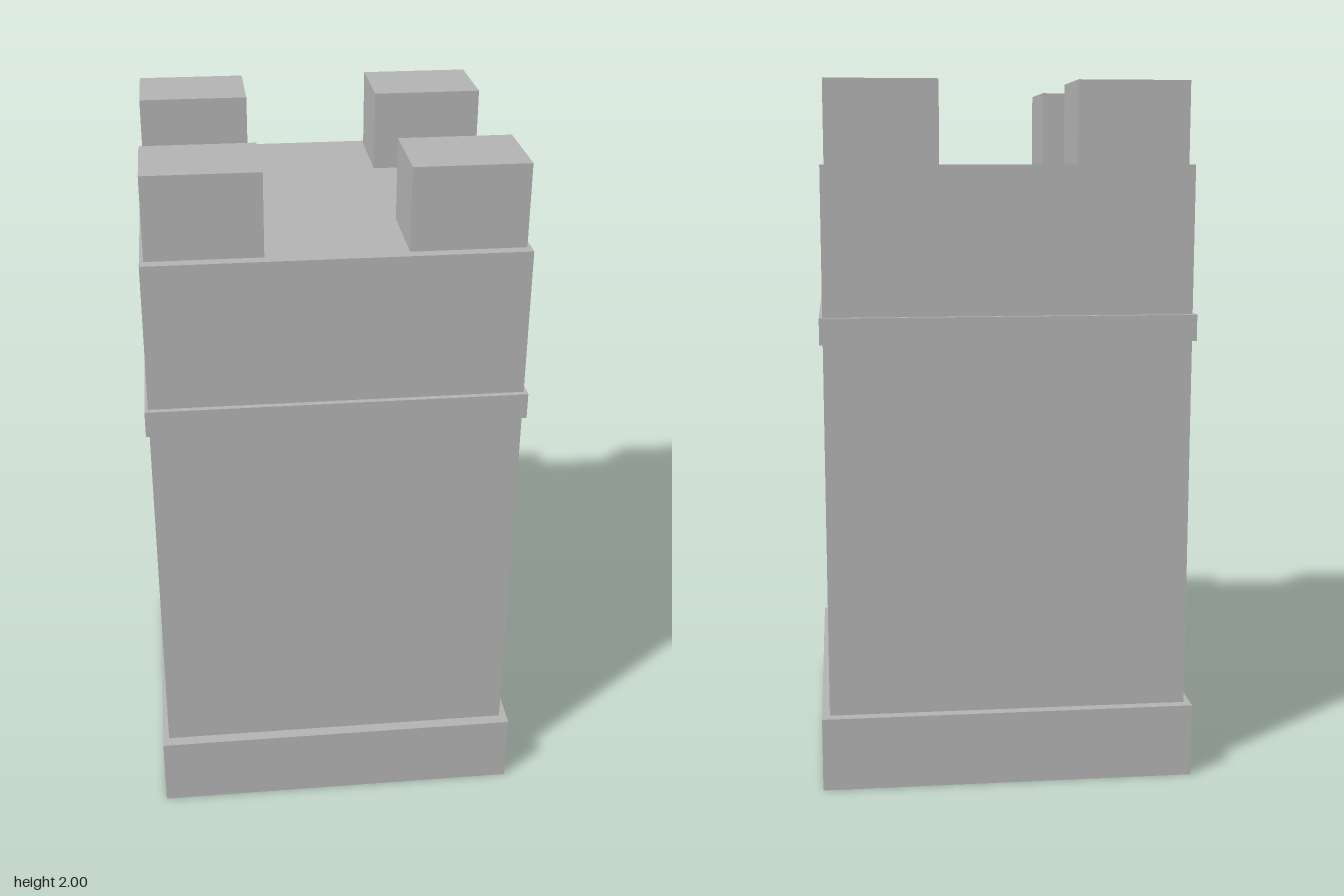
import * as THREE from 'three';

export function createModel() {
  const model = new THREE.Group();
  const stone = new THREE.MeshStandardMaterial({ color: 0xb2b2b2 });
  stone.name = 'grey stone';

  // Box standing on y0 and reaching y1
  function block(name, width, depth, y0, y1, x = 0, z = 0) {
    const mesh = new THREE.Mesh(new THREE.BoxGeometry(width, y1 - y0, depth), stone);
    mesh.name = name;
    mesh.position.set(x, (y0 + y1) / 2, z);
    model.add(mesh);
  }

  // Plinth, shaft and the thin band around it
  block('base', 1.074, 1.074, 0, 0.213);
  block('towerBody', 1.034, 1.01, 0.213, 1.77, -0.002, -0.002);
  block('band', 1.053, 1.043, 1.282, 1.356, -0.002, -0.002);

  // Four corner battlements
  for (const [sideX, x] of [['Left', 0.347], ['Right', -0.351]]) {
    for (const [sideZ, z] of [['front', 0.346], ['back', -0.35]]) {
      block(`${sideZ}${sideX}Battlement`, 0.314, 0.25, 1.77, 2, x, z);
    }
  }

  return model;
}
